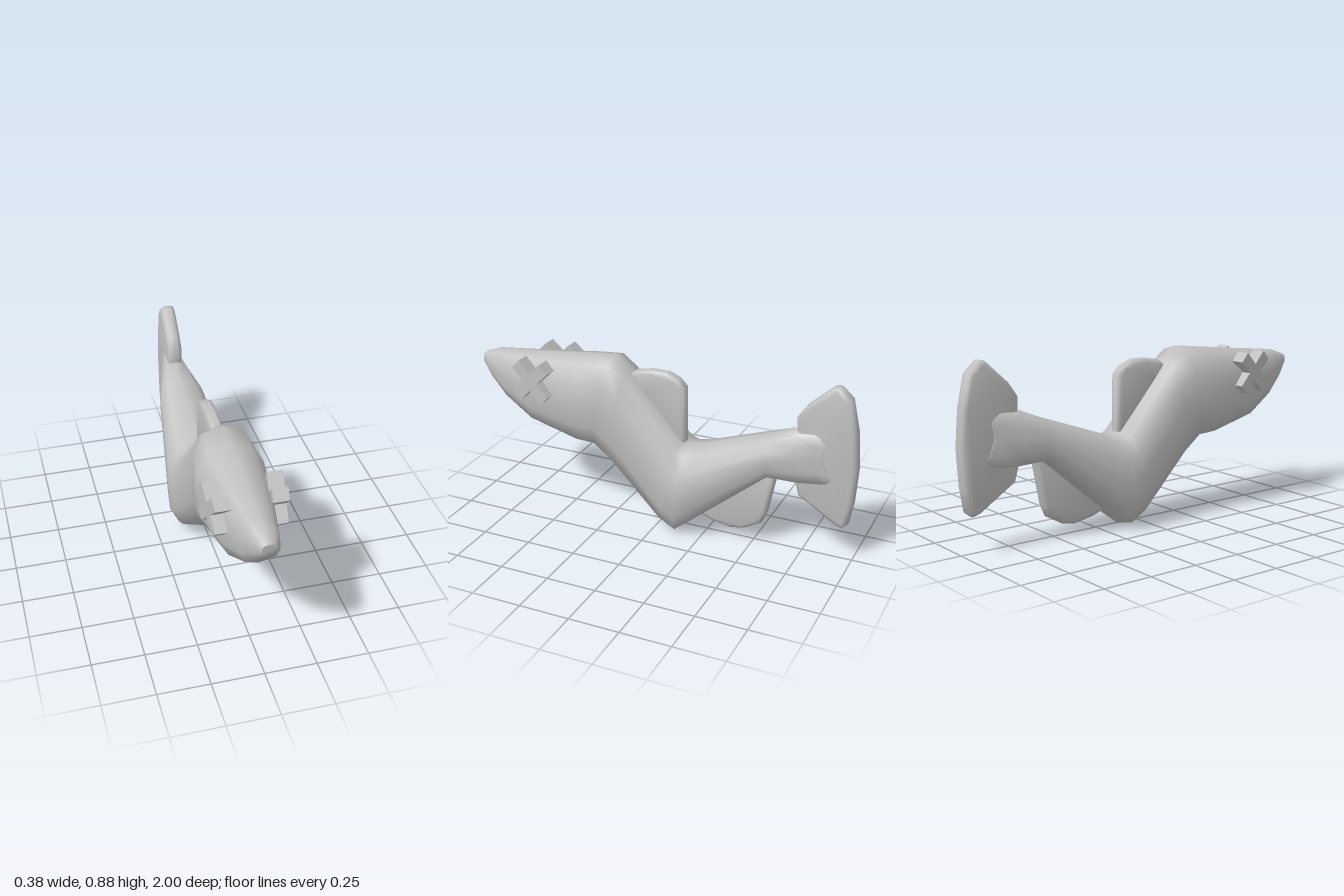
import * as THREE from 'three';
import { toCreasedNormals } from 'three/addons/utils/BufferGeometryUtils.js';

// Body stations, nose to tail: top z, top y, bottom z, bottom y, half width, notch depth
const STATIONS = [
  [1.0, 0.765, 1.0, 0.71, 0.035, 0],
  [0.93, 0.79, 0.95, 0.645, 0.065, 0],
  [0.85, 0.8, 0.86, 0.55, 0.085, 0],
  [0.65, 0.82, 0.7, 0.455, 0.125, 0],
  [0.38, 0.85, 0.42, 0.395, 0.165, 0],
  [0.25, 0.865, 0.33, 0.385, 0.152, 0],
  [0.17, 0.81, 0.24, 0.305, 0.14, 0],
  [-0.12, 0.48, -0.03, 0.055, 0.17, 0],
  [-0.16, 0.465, -0.12, 0.005, 0.175, 0],
  [-0.22, 0.475, -0.2, 0.07, 0.167, 0],
  [-0.58, 0.6, -0.58, 0.39, 0.115, 0],
  [-0.7, 0.65, -0.72, 0.375, 0.082, 0],
  [-0.82, 0.665, -0.84, 0.38, 0.055, 0.03],
  [-0.88, 0.65, -0.92, 0.385, 0.043, 0.065],
];

// Half cross-section, bottom to top: share of half width, share of height
const HALF = [[0, 0], [0.74, 0.065], [1, 0.26], [1, 0.52], [0.96, 0.74], [0.62, 0.94], [0, 1]];
const RING = [...HALF, ...HALF.slice(1, -1).reverse().map(([x, t]) => [-x, t])];

function bodyGeometry() {
  const pos = [];
  const index = [];
  const n = RING.length;
  for (const [tz, ty, bz, by, w, notch] of STATIONS) {
    for (const [x, t] of RING) {
      pos.push(x * w, by + (ty - by) * t, bz + (tz - bz) * t + notch * 4 * t * (1 - t));
    }
  }
  for (let i = 0; i < STATIONS.length - 1; i++) {
    for (let j = 0; j < n; j++) {
      const a = i * n + j;
      const b = i * n + (j + 1) % n;
      index.push(a, a + n, b, b, a + n, b + n);
    }
  }
  // Nose cap
  const nose = pos.length / 3;
  pos.push(0, 0.74, 1.0);
  for (let j = 0; j < n; j++) index.push(nose, j, (j + 1) % n);
  // Notched tail cap, joined left to right
  const last = (STATIONS.length - 1) * n;
  for (let k = 0; k < HALF.length - 1; k++) {
    const r0 = last + k, r1 = last + k + 1;
    const l0 = last + (n - k) % n, l1 = last + n - k - 1;
    index.push(r0, l0, r1, r1, l0, l1);
  }
  const geo = new THREE.BufferGeometry();
  geo.setAttribute('position', new THREE.Float32BufferAttribute(pos, 3));
  geo.setIndex(index);
  return toCreasedNormals(geo, 1.1);
}

// Side plate from [z, y] points, rounded at the rim and centred on x = 0
function plateGeometry(points, thickness, bevel) {
  const shape = new THREE.Shape(points.map(([z, y]) => new THREE.Vector2(-z, y)));
  const geo = new THREE.ExtrudeGeometry(shape, {
    depth: thickness - 2 * bevel,
    bevelEnabled: bevel > 0,
    bevelThickness: bevel,
    bevelSize: bevel,
    bevelOffset: -bevel,
    bevelSegments: 2,
  });
  geo.translate(0, 0, -(thickness - 2 * bevel) / 2);
  geo.rotateY(Math.PI / 2);
  return geo;
}

// Outline of a diagonal cross
function crossPoints(cz, cy, length, half) {
  const pts = [];
  for (let k = 0; k < 4; k++) {
    const a = Math.PI / 4 + k * Math.PI / 2;
    const c = Math.cos(a), s = Math.sin(a);
    for (const [u, v] of [[length, -half], [length, half], [half, half]]) {
      pts.push([cz + u * c - v * s, cy + u * s + v * c]);
    }
  }
  return pts;
}

export function createModel() {
  const model = new THREE.Group();
  model.name = 'fish';
  const grey = new THREE.MeshStandardMaterial({ color: 0xc0c0c0 });
  grey.name = 'plain grey';

  const add = (name, geo) => {
    const mesh = new THREE.Mesh(geo, grey);
    mesh.name = name;
    model.add(mesh);
    return mesh;
  };

  add('body', bodyGeometry());

  // Fins along the centre line
  const fins = {
    backFin: [[0.17, 0.78], [0.13, 0.805], [0.05, 0.82], [-0.03, 0.82], [-0.09, 0.795],
      [-0.13, 0.755], [-0.135, 0.46], [-0.06, 0.45], [0.12, 0.7]],
    bellyFin: [[-0.18, 0.12], [-0.22, 0.09], [-0.28, 0.068], [-0.38, 0.05], [-0.45, 0.06],
      [-0.54, 0.11], [-0.565, 0.17], [-0.61, 0.4], [-0.5, 0.43], [-0.3, 0.3]],
    tailFin: [[-0.7, 0.64], [-0.695, 0.71], [-0.74, 0.775], [-0.86, 0.885], [-0.89, 0.89],
      [-0.95, 0.835], [-0.985, 0.68], [-1, 0.5], [-0.99, 0.32], [-0.97, 0.2],
      [-0.945, 0.18], [-0.91, 0.19], [-0.72, 0.31], [-0.695, 0.4]],
  };
  for (const [name, points] of Object.entries(fins)) {
    const thick = name === 'tailFin' ? 0.076 : 0.064;
    add(name, toCreasedNormals(plateGeometry(points, thick, 0.022), 1));
  }

  // Cross-shaped eyes, slanted to follow the taper of the head
  for (const side of [1, -1]) {
    const geo = plateGeometry(crossPoints(0.643, 0.712, 0.118, 0.031), 0.075, 0);
    const p = geo.attributes.position;
    for (let i = 0; i < p.count; i++) {
      const z = p.getZ(i);
      p.setX(i, p.getX(i) + side * (0.142 - 0.12 * (z - 0.643)));
    }
    geo.computeVertexNormals();
    add(side > 0 ? 'leftEye' : 'rightEye', geo);
  }
  return model;
}
